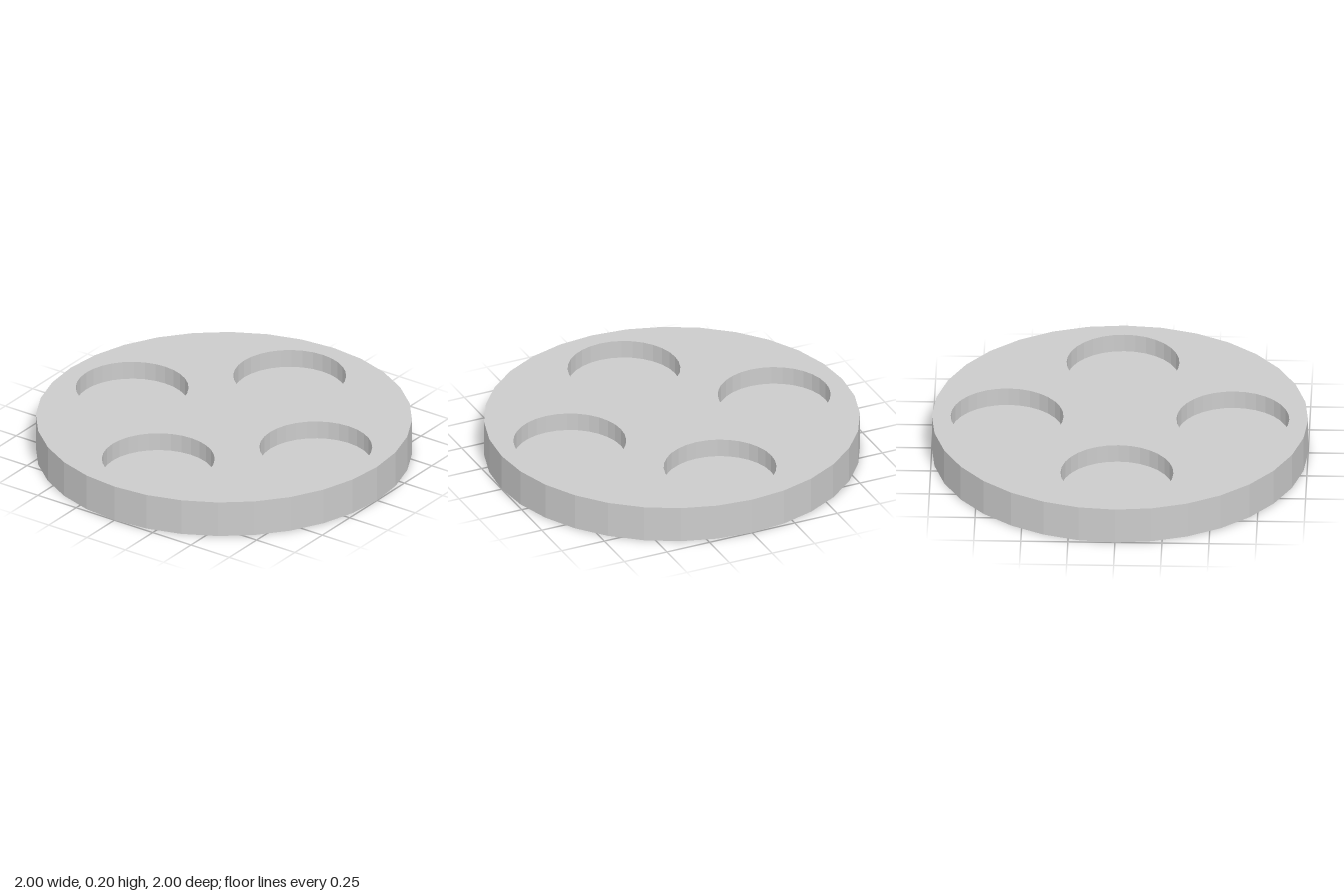
import * as THREE from 'three';

const RADIUS = 1, HEIGHT = 0.2;
const RECESS_RADIUS = 0.3, RECESS_DEPTH = 0.1, RECESS_OFFSET = 0.6;
const SIDES = 32;

const material = new THREE.MeshStandardMaterial({ color: 0xcccccc, flatShading: true });

function part(name, geometry) {
  const mesh = new THREE.Mesh(geometry, material);
  mesh.name = name;
  return mesh;
}

// Turn a short [radius, height] profile around the y axis
function turned(profile) {
  return new THREE.LatheGeometry(profile.map(([r, y]) => new THREE.Vector2(r, y)), SIDES);
}

export function createModel() {
  const group = new THREE.Group();
  group.name = 'recessedDisc';

  // Underside and outer rim
  group.add(part('discBody', turned([[0, 0], [RADIUS, 0], [RADIUS, HEIGHT]])));

  // Top face, pierced by the four recesses
  const face = new THREE.Shape().absarc(0, 0, RADIUS, 0, Math.PI * 2);

  for (let i = 0; i < 4; i++) {
    const angle = i * Math.PI / 2;
    const x = RECESS_OFFSET * Math.cos(angle);
    const z = RECESS_OFFSET * Math.sin(angle);
    face.holes.push(new THREE.Path().absarc(x, -z, RECESS_RADIUS, 0, Math.PI * 2, true));

    // Wall and floor of one round recess
    const floor = HEIGHT - RECESS_DEPTH;
    const recess = part('recess' + (i + 1),
      turned([[RECESS_RADIUS, HEIGHT], [RECESS_RADIUS, floor], [0, floor]]));
    recess.position.set(x, 0, z);
    group.add(recess);
  }

  const top = new THREE.ShapeGeometry(face, SIDES / 2);
  top.rotateX(-Math.PI / 2).translate(0, HEIGHT, 0);
  group.add(part('topFace', top));

  return group;
}
